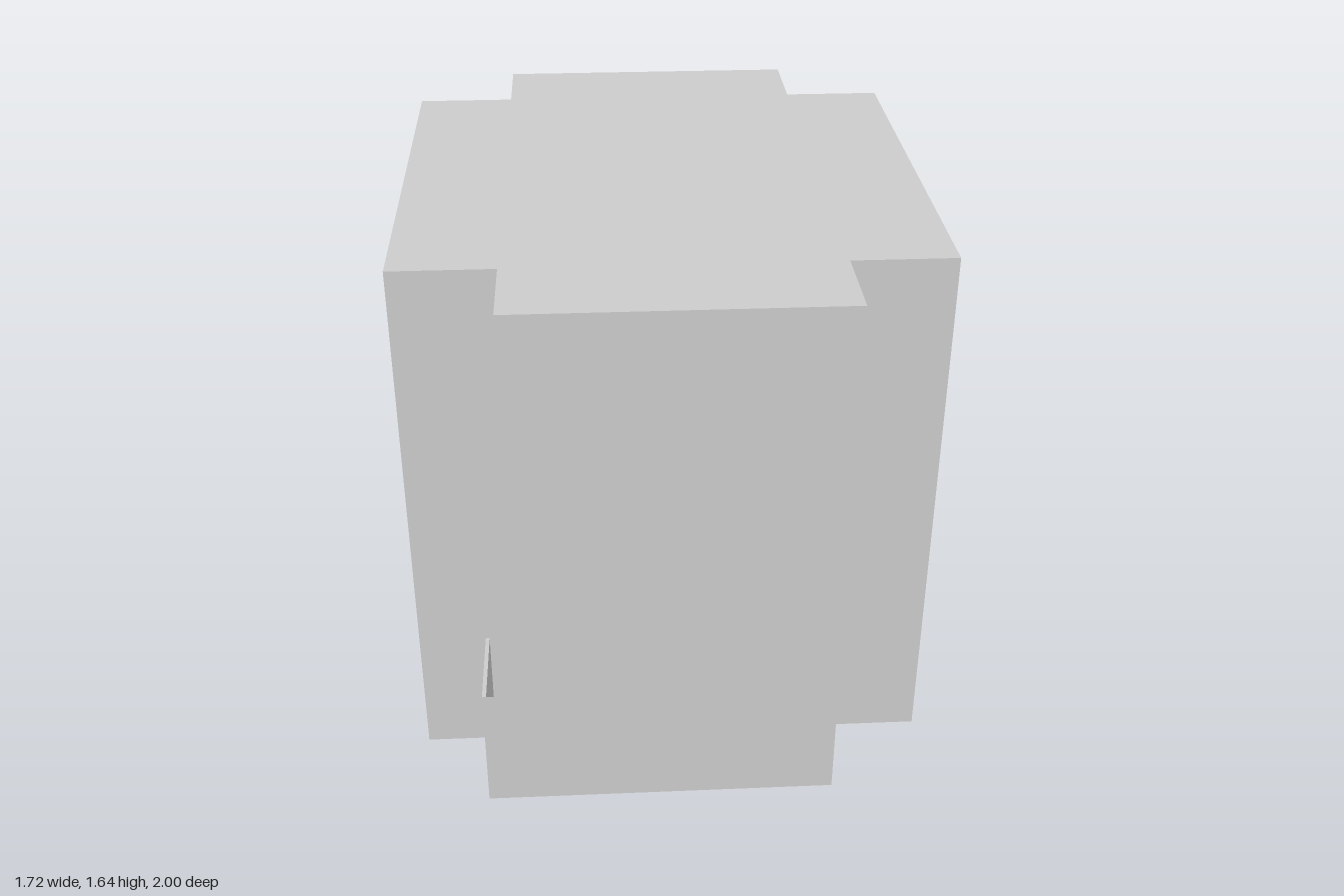
import * as THREE from 'three';

const H = 1.64, FLOOR = 0.04, DOOR_TOP = 1.44, DOOR_HALF = 0.384, DEPTH = 0.085;

export function createModel() {
  const model = new THREE.Group();
  const plan = new THREE.Group();
  plan.name = 'room';
  plan.rotation.y = -0.1435; // the whole plan is turned slightly
  model.add(plan);
  const mat = new THREE.MeshStandardMaterial({ color: 0xcccccc, side: THREE.DoubleSide, flatShading: true });

  const add = (parent, name, geo, x = 0, y = 0, z = 0) => {
    const mesh = new THREE.Mesh(geo, mat);
    mesh.name = name;
    mesh.position.set(x, y, z);
    parent.add(mesh);
    return mesh;
  };
  const box = (name, x0, x1, y0, y1, z0, z1) => add(plan, name,
    new THREE.BoxGeometry(x1 - x0, y1 - y0, z1 - z0), (x0 + x1) / 2, (y0 + y1) / 2, (z0 + z1) / 2);
  const slab = (name, pts, y) => {
    const shape = new THREE.Shape(pts.map(([x, z]) => new THREE.Vector2(x, -z)));
    add(plan, name, new THREE.ShapeGeometry(shape).rotateX(-Math.PI / 2), 0, y, 0);
  };

  // Cross-shaped outline, running counterclockwise from the front wall
  const A = 0.472, B = 0.773, C = 0.672, D = 0.942;
  const outline = [
    [-A, D], [A, D], [A, C], [B, C], [B, -C], [A, -C],
    [A, -D], [-A, -D], [-A, -C], [-B, -C], [-B, C], [-A, C],
  ];
  slab('roof', outline, H);

  // Floor is raised inside the walls and reaches under the low corner box
  const E = 0.572;
  slab('floor', [[-E, D], ...outline.slice(1, 11), [-E, C]], FLOOR);

  // Walls, the two long sides with a recessed doorway
  outline.forEach(([x, z], i) => {
    const [x2, z2] = outline[(i + 1) % outline.length];
    const dx = x2 - x, dz = z2 - z, len = Math.hypot(dx, dz);
    const wall = new THREE.Group();
    wall.name = 'wallSection';
    wall.position.set(x, 0, z);
    wall.rotation.y = Math.atan2(-dz, dx);
    plan.add(wall);

    const rect = (Type, a, b, c, d) => new Type([[a, c], [b, c], [b, d], [a, d]].map((p) => new THREE.Vector2(...p)));
    const face = rect(THREE.Shape, 0, len, 0, H);
    if (i === 3 || i === 9) {
      const a = len / 2 - DOOR_HALF, b = len / 2 + DOOR_HALF;
      const h = DOOR_TOP - FLOOR, mid = (DOOR_TOP + FLOOR) / 2;
      face.holes.push(rect(THREE.Path, a, b, FLOOR, DOOR_TOP));
      add(wall, 'doorPanel', new THREE.PlaneGeometry(b - a, h), len / 2, mid, -DEPTH);
      for (const [s, turn] of [[a, 1], [b, -1]]) {
        add(wall, 'doorJamb', new THREE.PlaneGeometry(DEPTH, h).rotateY(turn * Math.PI / 2), s, mid, -DEPTH / 2);
      }
      for (const [y, turn, name] of [[FLOOR, -1, 'doorSill'], [DOOR_TOP, 1, 'doorHead']]) {
        add(wall, name, new THREE.PlaneGeometry(b - a, DEPTH).rotateX(turn * Math.PI / 2), len / 2, y, -DEPTH / 2);
      }
    }
    add(wall, 'wall', new THREE.ShapeGeometry(face));
  });

  // Low open-topped box in the front corner
  box('cornerBoxSide', -E, -E + 0.012, 0, 0.4, C, D);
  add(plan, 'cornerBoxFront', new THREE.PlaneGeometry(E - A, 0.4), -(E + A) / 2, 0.2, D);
  add(plan, 'cornerBoxBack', new THREE.PlaneGeometry(E - A, 0.4).rotateY(Math.PI), -(E + A) / 2, 0.2, C + 0.002);

  // Small desk standing in the doorway on the -x side
  const back = -B + DEPTH;
  box('deskTop', -B - 0.014, back, 0.305, 0.33, -0.058, 0.392);
  box('deskLeg', -0.722, back, FLOOR, 0.305, -0.058, 0.01);
  box('deskPedestal', -B, back, FLOOR, 0.305, 0.15, DOOR_HALF);

  return model;
}
